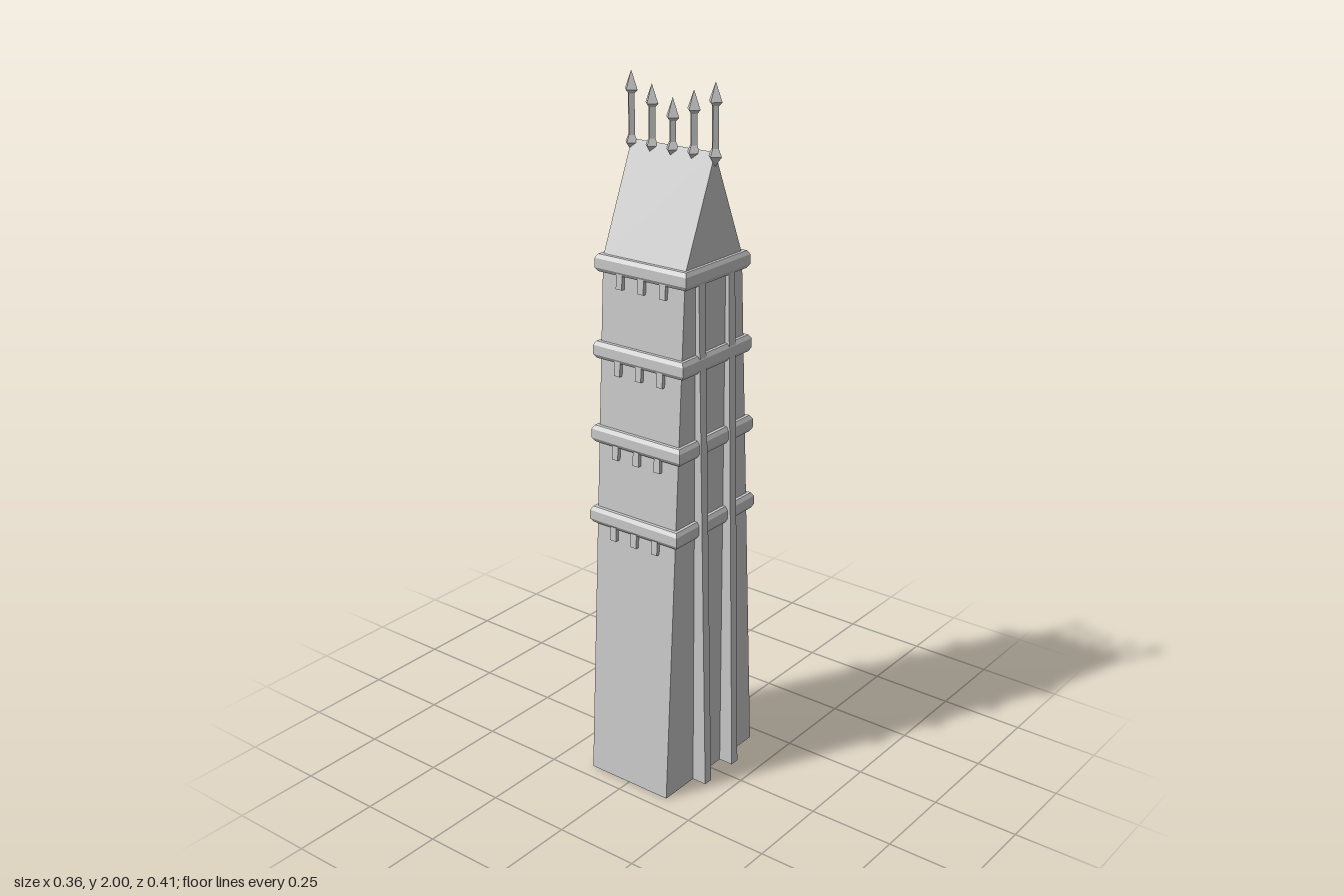
import * as THREE from 'three';

const material = new THREE.MeshStandardMaterial({ color: 0xcccccc, flatShading: true, side: THREE.DoubleSide });

const HALF_X = 0.136;
const EAVES = 1.53;
// Half depth of the tapering shaft at height y
const halfZ = (y) => 0.205 - (0.082 * y) / EAVES;

function add(parent, name, geometry) {
  const mesh = new THREE.Mesh(geometry, material);
  mesh.name = name;
  parent.add(mesh);
  return mesh;
}

// Skin rectangular sections { y, x0, x1, z0, z1 }, listed from bottom to top; ends stay open unless capped
function loft(sections, capped = false) {
  const corners = sections.map(({ y, x0, x1, z0, z1 }) => [[x0, y, z1], [x1, y, z1], [x1, y, z0], [x0, y, z0]]);
  const positions = [];
  const quad = (a, b, c, d) => positions.push(...a, ...b, ...c, ...a, ...c, ...d);
  for (let i = 0; i < corners.length - 1; i++) {
    const low = corners[i], high = corners[i + 1];
    for (let k = 0; k < 4; k++) {
      const n = (k + 1) % 4;
      quad(low[k], low[n], high[n], high[k]);
    }
  }
  if (capped) {
    const [a, b, c, d] = corners[0];
    quad(d, c, b, a);
    quad(...corners[corners.length - 1]);
  }
  const geometry = new THREE.BufferGeometry();
  geometry.setAttribute('position', new THREE.Float32BufferAttribute(positions, 3));
  geometry.computeVertexNormals();
  return geometry;
}

const centred = (y, hx, hz) => ({ y, x0: -hx, x1: hx, z0: -hz, z1: hz });

// Four-sided finial with a pointed foot, slim stem and spear tip
function finialGeometry(top) {
  const profile = [
    [0, 1.785], [0.021, 1.812], [0.011, 1.832], [0.011, top - 0.06],
    [0.021, top - 0.05], [0, top],
  ].map(([r, y]) => new THREE.Vector2(r, y));
  return new THREE.LatheGeometry(profile, 4);
}

export function createModel() {
  const tower = new THREE.Group();
  tower.name = 'tower';

  // Tapered shaft, open underneath, and the ridged roof
  add(tower, 'shaft', loft([centred(0, HALF_X, halfZ(0)), centred(EAVES, HALF_X, halfZ(EAVES))]));
  add(tower, 'roof', loft([centred(EAVES, HALF_X, halfZ(EAVES)), centred(1.822, HALF_X, 0)]));

  // Two leaning pilasters on each side
  for (const side of [-1, 1]) {
    for (const z of [-0.065, 0.065]) {
      const section = (y, reach) => {
        const xs = [side * 0.125, side * reach];
        return { y, x0: Math.min(...xs), x1: Math.max(...xs), z0: z - 0.014, z1: z + 0.014 };
      };
      add(tower, 'pilaster', loft([section(0, 0.18), section(1.51, 0.146)], true));
    }
  }

  // Bevelled string courses with three brackets under the front and back
  const bandProfile = [[-0.002, -0.024], [0.009, -0.024], [0.016, -0.013], [0.016, 0.013], [0.009, 0.024], [-0.002, 0.024]];
  for (const y of [0.8, 1.038, 1.276, 1.514]) {
    const course = new THREE.Group();
    course.name = 'stringCourse';
    tower.add(course);
    const hz = halfZ(y);
    add(course, 'band', loft(bandProfile.map(([out, dy]) => centred(y + dy, HALF_X + out, hz + out))));
    for (const side of [-1, 1]) {
      for (const x of [-0.072, 0, 0.072]) {
        const bracket = add(course, 'bracket', new THREE.BoxGeometry(0.02, 0.045, 0.014));
        bracket.position.set(x, y - 0.038, side * (halfZ(y - 0.038) + 0.004));
        bracket.rotation.x = -side * Math.atan(0.082 / EAVES);
      }
    }
  }

  // Ridge finials, tallest at the ends
  for (let i = -2; i <= 2; i++) {
    const finial = add(tower, 'finial', finialGeometry(1.945 + Math.abs(i) * 0.0275));
    finial.position.x = i * 0.068;
  }
  return tower;
}
